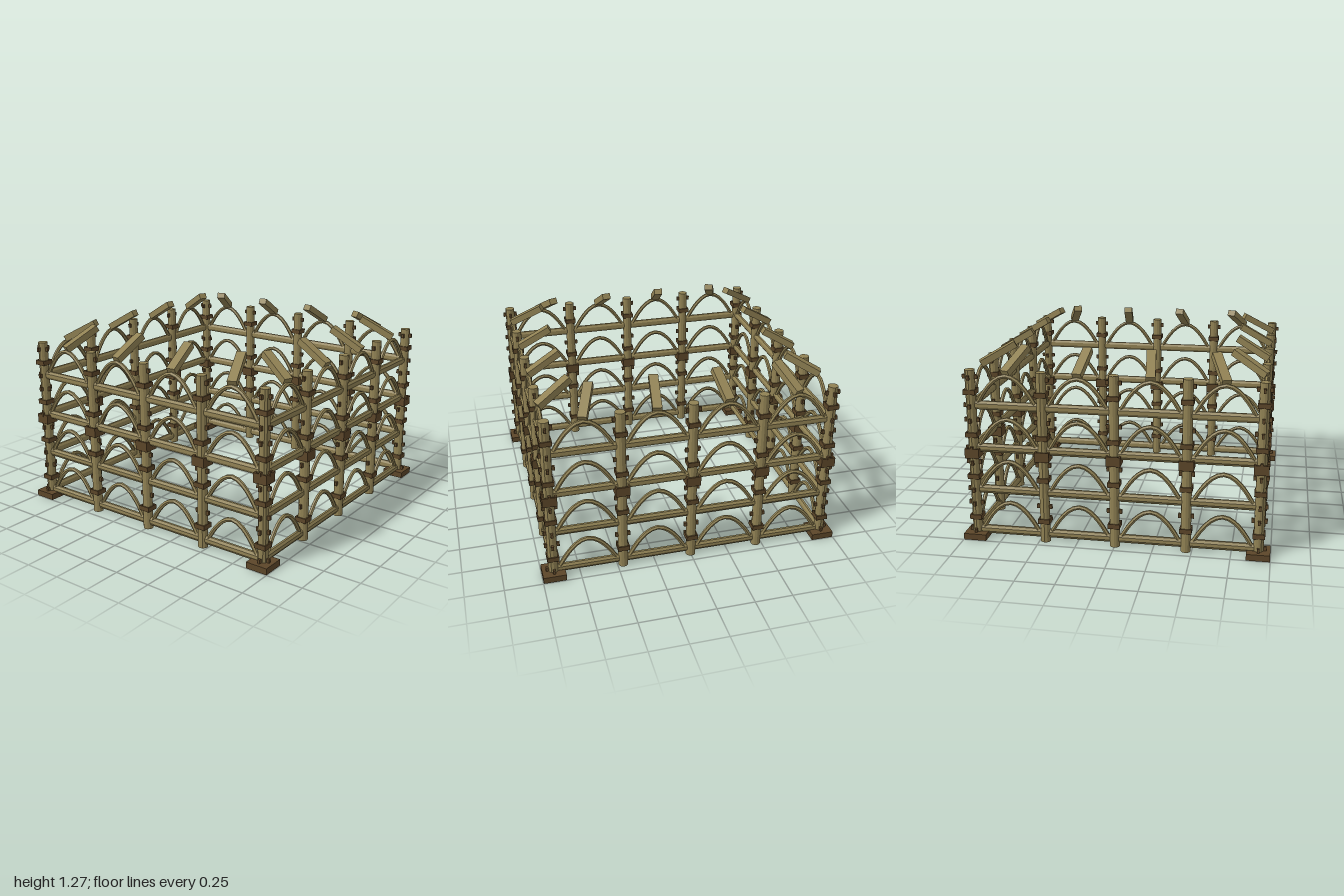
import * as THREE from 'three';

const HALF = 0.923;            // wall line distance from the centre
const BAY = HALF / 2;          // post spacing
const STOREY = 0.285;          // rail spacing

function material(name, color) {
  const m = new THREE.MeshStandardMaterial({ color, flatShading: true });
  m.name = name;
  return m;
}

// square collar, open in the middle
function collarGeometry(outer, inner, height) {
  const square = (C, h) => new C([[-h, -h], [h, -h], [h, h], [-h, h]].map(p => new THREE.Vector2(...p)));
  const shape = square(THREE.Shape, outer / 2);
  shape.holes.push(square(THREE.Path, inner / 2));
  return new THREE.ExtrudeGeometry(shape, { depth: height, bevelEnabled: false })
    .rotateX(-Math.PI / 2).translate(0, -height / 2, 0);
}

export function createModel() {
  const wood = material('weathered wood', 0x918254);
  const binding = material('dark binding', 0x5c4629);

  // shared geometries
  const postGeo = new THREE.CylinderGeometry(0.033, 0.033, 1.14, 12).translate(0, 0.57, 0);
  const railGeo = new THREE.CylinderGeometry(0.03, 0.03, HALF * 2, 8)
    .rotateY(Math.PI / 8).rotateZ(Math.PI / 2).scale(1, 1, 0.64);
  const smallCollar = collarGeometry(0.078, 0.062, 0.032);
  const largeCollar = collarGeometry(0.094, 0.072, 0.064);
  const pegGeo = new THREE.BoxGeometry(0.1, 0.028, 0.016);
  const baseGeo = new THREE.BoxGeometry(0.15, 0.042, 0.15);

  // parabolic arch, standing on the rail below
  const archPoints = [];
  for (let i = 0; i <= 12; i++) {
    const t = i / 6 - 1;
    archPoints.push(new THREE.Vector3(t * 0.193, 0.195 * (1 - Math.abs(t) ** 1.9), 0));
  }
  const archGeo = new THREE.TubeGeometry(new THREE.CatmullRomCurve3(archPoints), 14, 0.0145, 6);

  const add = (parent, name, geo, mat, x, y, z) => {
    const mesh = new THREE.Mesh(geo, mat);
    mesh.name = name;
    mesh.position.set(x, y, z);
    parent.add(mesh);
    return mesh;
  };

  // post with collars and pegs
  function makePost(corner) {
    const post = new THREE.Group();
    post.name = corner ? 'cornerPost' : 'post';
    add(post, 'shaft', postGeo, wood, 0, 0, 0);
    add(post, 'largeCollar', largeCollar, binding, 0, 0.592, 0);
    for (let k = 0; k < 4; k++) {
      add(post, 'smallCollar', smallCollar, binding, 0, 0.148 + k * 0.2835, 0);
      const heights = corner ? [0.055, 0.243] : [0.243];
      for (const h of heights) {
        const y = h + k * 0.2835;
        add(post, 'peg', pegGeo, binding, 0, y, 0);
        if (corner) add(post, 'peg', pegGeo, binding, 0, y, 0).rotation.y = Math.PI / 2;
      }
    }
    if (corner) add(post, 'basePlate', baseGeo, binding, 0, 0.021, 0);
    return post;
  }

  // plank leaning inward from the top of an arch
  function makePlank(x) {
    const low = new THREE.Vector3(x, 1.123, HALF + 0.005);
    const high = new THREE.Vector3(x * 0.882, 1.247, HALF - 0.208);
    const geo = new THREE.BoxGeometry(0.06, 0.044, low.distanceTo(high));
    const plank = new THREE.Mesh(geo, wood);
    plank.name = 'leaningPlank';
    plank.position.copy(low).lerp(high, 0.5);
    plank.lookAt(high);
    return plank;
  }

  // one wall, facing +z, with its left-hand corner post
  function makeWall() {
    const wall = new THREE.Group();
    wall.name = 'wall';
    for (let i = -1; i <= 2; i++) {
      const post = makePost(i === 2);
      post.position.set(i * BAY, 0, HALF);
      wall.add(post);
    }
    for (let k = 0; k < 4; k++) {
      const y = 0.055 + k * STOREY;
      add(wall, 'rail', railGeo, wood, 0, y, HALF);
      for (let b = -1.5; b <= 1.5; b++) add(wall, 'arch', archGeo, wood, b * BAY, y, HALF);
    }
    for (let b = -1.5; b <= 1.5; b++) wall.add(makePlank(b * BAY));
    return wall;
  }

  const model = new THREE.Group();
  model.name = 'latticeEnclosure';
  for (let i = 0; i < 4; i++) {
    const wall = makeWall();
    wall.rotation.y = i * Math.PI / 2;
    model.add(wall);
  }
  return model;
}
